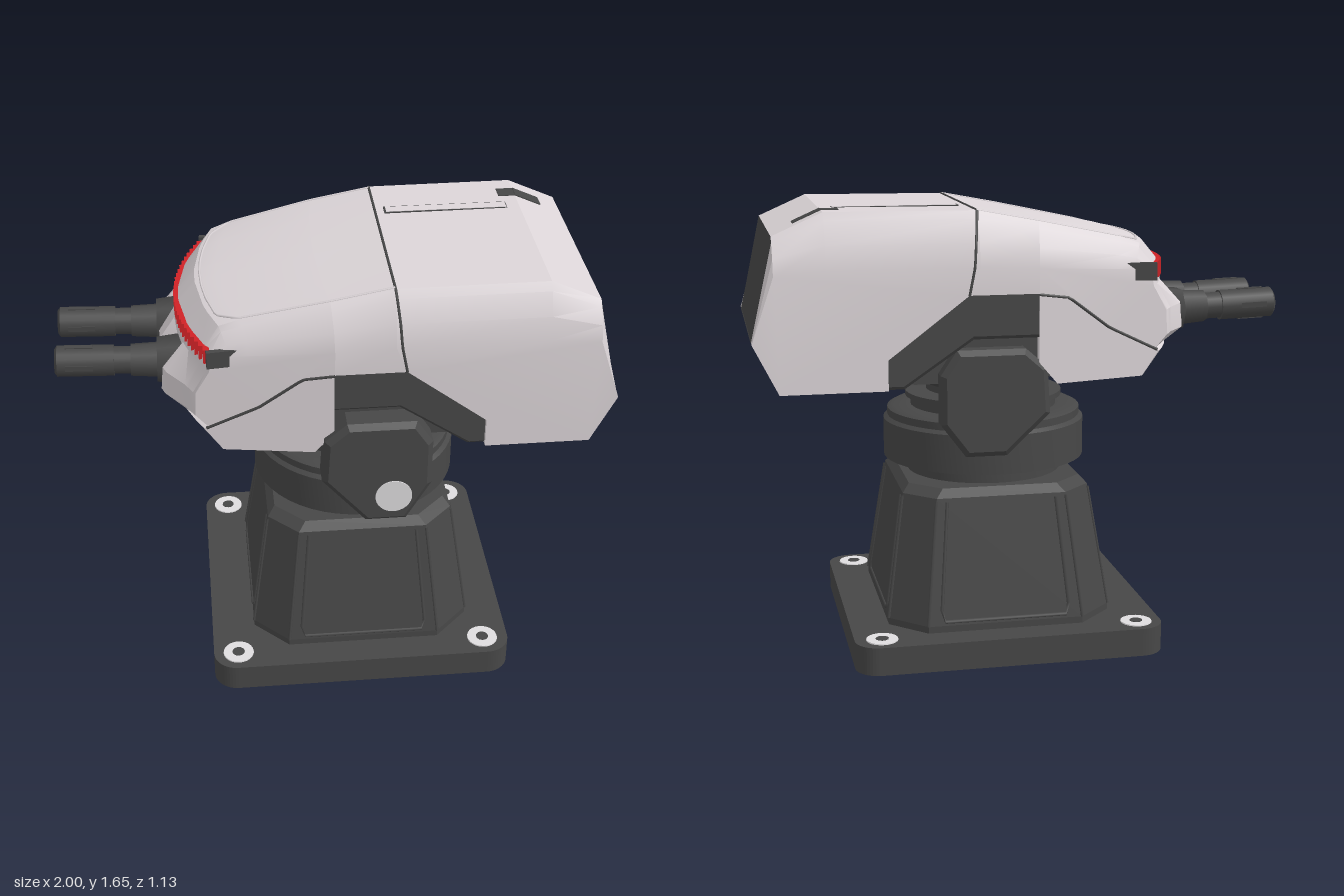
import * as THREE from 'three';
import { toCreasedNormals } from 'three/addons/utils/BufferGeometryUtils.js';

const mat = (name, color) => Object.assign(new THREE.MeshStandardMaterial({ color }), { name });

export function createModel() {
  const shell = mat('pale shell', 0xdcd5d8);
  const dark = mat('dark metal', 0x474747);
  const red = mat('visor red', 0xd02226);
  const steel = mat('bolt steel', 0xdedcde);
  const root = new THREE.Group();
  const CX = 0.105;

  const add = (name, geo, material, x = 0, y = 0, z = 0, parent = root) => {
    const m = new THREE.Mesh(geo, material);
    m.name = name;
    m.position.set(x, y, z);
    parent.add(m);
    return m;
  };
  const box = (name, w, h, d, material, x, y, z, parent) =>
    add(name, new THREE.BoxGeometry(w, h, d), material, x, y, z, parent);
  const polygon = pts => new THREE.Shape(pts.map(p => new THREE.Vector2(...p)));
  const seam = (name, pts, r, material = dark) => {
    const curve = new THREE.CatmullRomCurve3(pts, false, 'catmullrom', 0);
    add(name, new THREE.TubeGeometry(curve, pts.length * 6, r, 5), material);
  };
  // Outline in x/y extruded between two z values, with a small bevel
  const slab = (name, pts, z0, z1, bevel, material) => {
    const geo = new THREE.ExtrudeGeometry(polygon(pts), {
      depth: z1 - z0 - 2 * bevel, bevelEnabled: bevel > 0, bevelSize: bevel,
      bevelThickness: bevel, bevelOffset: -bevel, bevelSegments: 1 });
    return add(name, geo, material, 0, 0, z0 + bevel);
  };

  // Base plate with rounded corners
  const W = 0.575, D = 0.563, R = 0.09;
  const plate = new THREE.Shape();
  plate.absarc(W - R, D - R, R, 0, Math.PI / 2);
  plate.absarc(R - W, D - R, R, Math.PI / 2, Math.PI);
  plate.absarc(R - W, R - D, R, Math.PI, Math.PI * 1.5);
  plate.absarc(W - R, R - D, R, Math.PI * 1.5, Math.PI * 2);
  const plateGeo = new THREE.ExtrudeGeometry(plate, { depth: 0.105, bevelEnabled: false, curveSegments: 6 });
  add('basePlate', plateGeo.rotateX(-Math.PI / 2), dark, 0.095);
  for (const x of [-0.385, 0.57]) for (const z of [-0.475, 0.475]) {
    add('bolt', new THREE.CylinderGeometry(0.058, 0.06, 0.008, 24), steel, x, 0.105, z);
    add('boltSocket', new THREE.CylinderGeometry(0.024, 0.024, 0.003, 12), dark, x, 0.109, z);
  }

  // Pedestal: tapered block with chamfered corners
  const levels = [[0.1, 0.42, 0.45, 0.13], [0.13, 0.42, 0.45, 0.13], [0.59, 0.352, 0.365, 0.11], [0.62, 0.325, 0.335, 0.11]];
  const ringAt = ([y, hx, hz, c]) => [[hx, hz - c], [hx - c, hz], [c - hx, hz], [-hx, hz - c],
    [-hx, c - hz], [c - hx, -hz], [hx - c, -hz], [hx, c - hz]].map(([x, z]) => new THREE.Vector3(CX + x, y, z));
  const rings = levels.map(ringAt), pos = [];
  const tri = (...v) => v.forEach(p => pos.push(p.x, p.y, p.z));
  for (let l = 0; l < 3; l++) for (let i = 0; i < 8; i++) {
    const j = (i + 1) % 8, a = rings[l], b = rings[l + 1];
    tri(a[i], b[j], a[j]);
    tri(a[i], b[i], b[j]);
  }
  for (let i = 1; i < 7; i++) tri(rings[3][0], rings[3][i + 1], rings[3][i]);
  const pedGeo = new THREE.BufferGeometry();
  pedGeo.setAttribute('position', new THREE.Float32BufferAttribute(pos, 3));
  pedGeo.computeVertexNormals();
  add('pedestal', pedGeo, dark);
  for (const i of [1, 3, 5, 7]) {
    const j = (i + 1) % 8, [lo, hi] = [rings[1], rings[2]];
    const mix = (t, u) => lo[i].clone().lerp(lo[j], t).lerp(hi[i].clone().lerp(hi[j], t), u);
    seam('pedestalPanelLine', [mix(0.08, 0.97), mix(0.08, 0.03), mix(0.92, 0.03), mix(0.92, 0.97)], 0.007);
    for (const t of [0, 1]) seam('pedestalEdgeLine', [mix(t, 0.98), mix(t, 0)], 0.006);
  }

  // Rotating collar and flared neck
  const collar = [[0.295, 0.6], [0.295, 0.675], [0.385, 0.675], [0.385, 0.82], [0.37, 0.832], [0.37, 0.86], [0.35, 0.87],
    [0.28, 0.87], [0.28, 0.9], [0.3, 0.905], [0.3, 0.925], [0.22, 0.93], [0.22, 0.955], [0.32, 1.02], [0.32, 1.1]];
  const collarGeo = new THREE.LatheGeometry(collar.map(p => new THREE.Vector2(...p)), 48);
  add('collar', toCreasedNormals(collarGeo, 0.5), dark, CX);

  // Side pivots
  const pivot = [[0.1, 0.725], [0.25, 0.725], [0.34, 0.88], [0.34, 1.06], [0.28, 1.15], [0.03, 1.15], [-0.05, 1.08], [-0.06, 0.91]];
  slab('leftPivot', pivot, 0.38, 0.5, 0.02, dark);
  slab('rightPivot', pivot.map(([x, y]) => [x, Math.max(y, 0.76)]), -0.455, -0.36, 0.02, dark);
  add('pivotCap', new THREE.CylinderGeometry(0.067, 0.067, 0.01, 32).rotateX(Math.PI / 2), steel, 0.2, 0.84, 0.499);

  // Dark chassis under the shell
  slab('chassis', [[-0.13, 1.04], [0, 1.02], [0.42, 1.02], [0.54, 1.03], [0.54, 1.13], [0.24, 1.36], [-0.05, 1.36]], -0.37, 0.37, 0, dark);
  slab('archBand', [[-0.05, 1.19], [0.22, 1.19], [0.47, 1.02], [0.54, 1.02], [0.54, 1.14], [0.245, 1.36], [-0.05, 1.36]],
    -0.455, 0.455, 0.012, dark);

  // The nose narrows ahead of the arch and its front sweeps back towards the sides
  const warp = (x, y, z) => {
    const f = Math.max(0, 0.2 - x);
    return new THREE.Vector3(x + f * 0.68 * z * z, y, z * (1 - 0.2 * Math.max(0, f - 0.25)));
  };
  const half = [[0.47, 0.2], [0.455, 0.55], [0.42, 0.88], [0.4, 1], [0.3, 1], [0.26, 1], [0.235, 1], [0.055, 1], [0.035, 1]];
  const stations = [...half.map(([z, k]) => [-z, k]), ...half.slice().reverse()];
  // Profile entries: x, y, shoulder flag, half-width of the dark part of the edge that follows, barrel notch depth
  const loft = (name, profile, wide = 1) => {
    const out = [[], []];
    const put = (m, ...v) => v.forEach(p => out[m].push(p.x, p.y, p.z));
    const secs = stations.map(([z, k]) => {
      const d = Math.abs(z);
      const push = d > 0.05 && d < 0.25 ? 1 : d > 0.25 && d < 0.35 ? -0.4 : 0;
      return profile.map(([x, y, top, , notch = 0]) =>
        warp(x + notch * push, top ? 1.4 + (y - 1.4) * k : y, z * wide));
    });
    for (let s = 0; s + 1 < secs.length; s++) profile.forEach((p, i) => {
      const j = (i + 1) % profile.length, a = secs[s], b = secs[s + 1];
      const m = Math.abs(stations[s][0] + stations[s + 1][0]) / 2 < (p[3] || 0) ? 1 : 0;
      put(m, a[i], a[j], b[j], a[i], b[j], b[i]);
    });
    const first = secs[0], last = secs[secs.length - 1];
    const faces = THREE.ShapeUtils.triangulateShape(last.map(p => new THREE.Vector2(p.x, p.y)), []);
    for (const [a, b, c] of faces) {
      put(0, last[a], last[b], last[c]);
      put(0, first[a], first[c], first[b]);
    }
    const geo = new THREE.BufferGeometry();
    geo.setAttribute('position', new THREE.Float32BufferAttribute([...out[0], ...out[1]], 3));
    geo.addGroup(0, out[0].length / 3, 0);
    geo.addGroup(out[0].length / 3, out[1].length / 3, 1);
    geo.computeVertexNormals();
    add(name, toCreasedNormals(geo, 0.4), [shell, dark]);
  };
  loft('rearShell', [[0.24, 1.35, 0, 0.4], [0.53, 1.13, 0, 0.4], [0.53, 1.02, 0, 0.4], [0.91, 1.02, 0, 0.415],
    [1, 1.2, 0, 0.415], [0.92, 1.565, 1], [0.74, 1.645, 1], [0.2, 1.642, 1]]);
  loft('middleShell', [[-0.05, 1.35, 0, 0.4], [0.24, 1.35], [0.2, 1.642, 1], [-0.05, 1.6, 1]]);
  loft('noseShell', [[-0.05, 1.35], [-0.05, 1.6, 1], [-0.4, 1.535, 1], [-0.48, 1.51, 1],
    [-0.55, 1.43, 1], [-0.56, 1.36], [-0.62, 1.27, 0, 0, 0.07], [-0.625, 1.18, 0, 0, 0.08], [-0.57, 1.13, 0, 0, 0.03],
    [-0.36, 1.22], [-0.18, 1.335]]);
  loft('jaw', [[-0.05, 1.1], [-0.05, 1.34], [-0.18, 1.325], [-0.36, 1.21], [-0.585, 1.12], [-0.51, 1.03, 0, 0.3],
    [-0.13, 1.02, 0, 0.3]], 0.98);

  // Panel lines on the shell
  const split = [[0.24, 1.35, 0.471], [0.22, 1.45, 0.471], [0.213, 1.535, 0.456], [0.204, 1.613, 0.421], [0.2, 1.642, 0.4]];
  seam('bodySplit', [...split.map(([x, y, z]) => new THREE.Vector3(x, y, z)),
    ...split.slice().reverse().map(([x, y, z]) => new THREE.Vector3(x, y, -z))], 0.005);
  const edge = [[0.2, 1.642], [-0.05, 1.6], [-0.4, 1.535]];
  const front = [-0.33, -0.2, -0.1, 0, 0.1, 0.2, 0.33].map(z => warp(-0.46, 1.517, z));
  seam('hoodPanelLine', [...edge.map(([x, y]) => warp(x, y, -0.39)), ...front,
    ...edge.slice().reverse().map(([x, y]) => warp(x, y, 0.39))], 0.005, shell);
  for (const s of [-1, 1])
    seam('jawLine', [[-0.05, 1.347], [-0.18, 1.332], [-0.36, 1.217], [-0.58, 1.126]].map(([x, y]) => warp(x, y, s * 0.468)), 0.006);
  seam('rearPanelLine', [new THREE.Vector3(0.996, 1.2, -0.41), new THREE.Vector3(0.996, 1.2, 0.41)], 0.006);

  // Slot and pocket on the roof
  box('roofSlotEdge', 0.46, 0.006, 0.05, dark, 0.463, 1.643, -0.192);
  box('roofSlot', 0.45, 0.008, 0.04, shell, 0.465, 1.6435, -0.192);
  box('roofPocketFlat', 0.065, 0.006, 0.06, dark, 0.71, 1.6445, -0.295);
  box('roofPocketSlope', 0.11, 0.006, 0.06, dark, 0.79, 1.6238, -0.295).rotation.z = -0.418;

  // Visor: stepped red strip with dark ends
  const steps = 26;
  for (let i = 0; i < steps; i++) {
    const p = warp(-0.548, 1.412, -0.45 + 0.9 * (i + 0.5) / steps);
    box('visorSegment', 0.022, 0.054, 0.032, red, p.x, p.y, p.z);
  }
  for (const s of [-1, 1])
    box('visorEnd', 0.125, 0.064, 0.02, dark, -0.392, 1.414, s * 0.422).rotation.y = s * 0.11;

  // Twin barrels
  for (const z of [-0.16, 0.12]) {
    const gun = new THREE.Group();
    gun.name = 'barrel';
    gun.position.set(-0.56, 1.235, z);
    gun.rotation.z = -0.035;
    root.add(gun);
    const tube = (name, x0, x1, r0, r1, n) => add(name,
      new THREE.CylinderGeometry(r1, r0, x1 - x0, n).rotateZ(-Math.PI / 2), dark, (x0 + x1) / 2, 0, 0, gun);
    tube('barrelMount', -0.07, 0.06, 0.082, 0.1, 6);
    tube('barrelBlock', -0.165, -0.06, 0.06, 0.066, 8);
    tube('barrelTube', -0.24, -0.16, 0.05, 0.05, 20);
    tube('muzzle', -0.43, -0.225, 0.057, 0.057, 20);
    tube('muzzleTip', -0.439, -0.43, 0.045, 0.057, 20);
    for (let i = 0; i < 4; i++) {
      const a = i * Math.PI / 2;
      const vent = box('muzzleVent', 0.1, 0.008, 0.02, dark, -0.35, 0.055 * Math.cos(a), 0.055 * Math.sin(a), gun);
      vent.rotation.x = a;
    }
  }
  return root;
}
